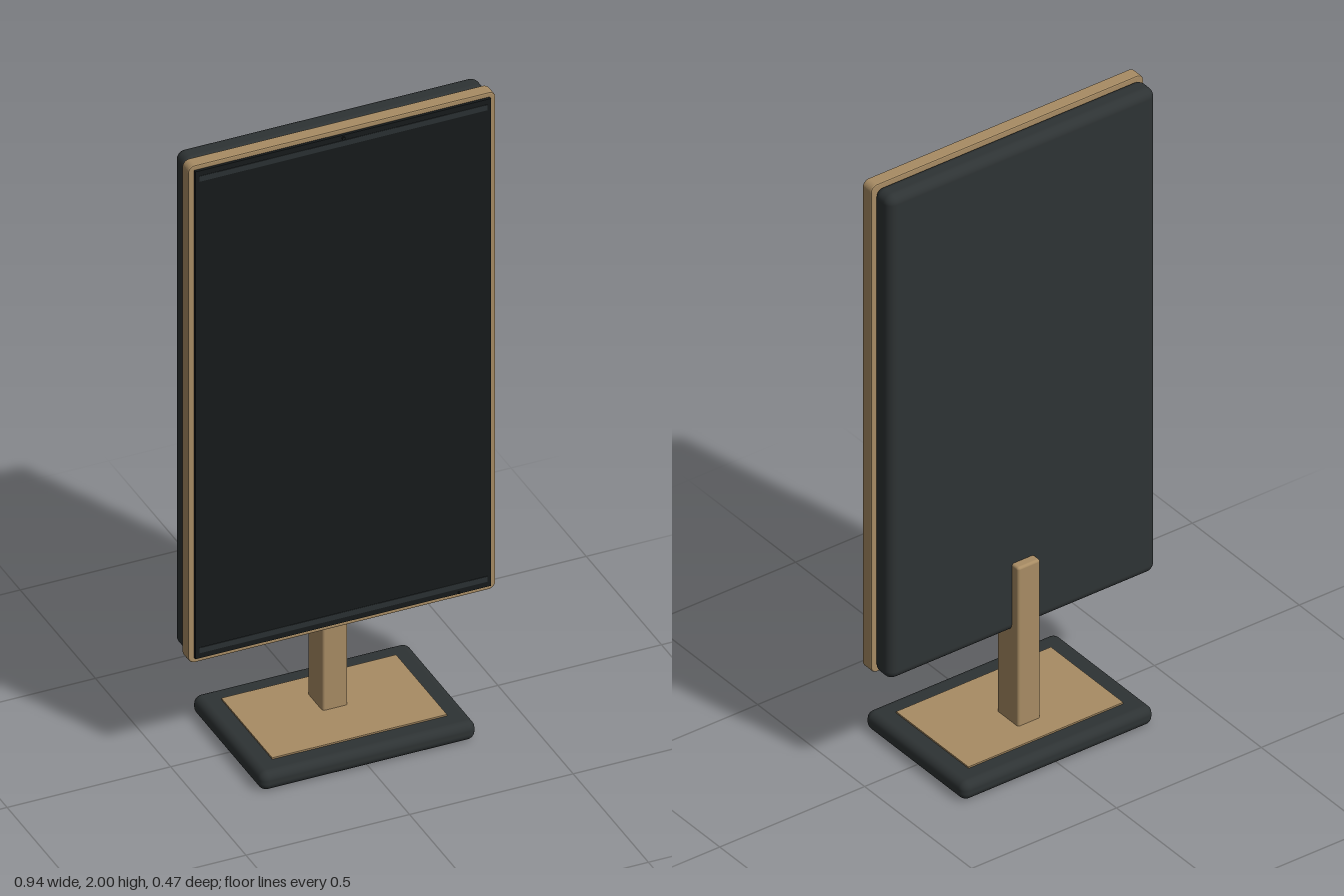
import * as THREE from 'three';
import { RoundedBoxGeometry } from 'three/addons/geometries/RoundedBoxGeometry.js';

const wood = new THREE.MeshStandardMaterial({ color: 0xa88c64 });
const charcoal = new THREE.MeshStandardMaterial({ color: 0x2e3334 });
const glass = new THREE.MeshStandardMaterial({ color: 0x161a1b });
const trim = new THREE.MeshStandardMaterial({ color: 0x2a3032 });

export function createModel() {
  const model = new THREE.Group();
  model.name = 'portraitDisplay';

  const add = (name, geometry, material, x, y, z) => {
    const mesh = new THREE.Mesh(geometry, material);
    mesh.name = name;
    mesh.position.set(x, y, z);
    model.add(mesh);
    return mesh;
  };
  // Boxes given by their limits; a radius rounds every edge
  const box = (name, material, [x0, x1], [y0, y1], [z0, z1], radius = 0) => {
    const size = [x1 - x0, y1 - y0, z1 - z0];
    const geometry = radius
      ? new RoundedBoxGeometry(...size, 4, radius)
      : new THREE.BoxGeometry(...size);
    return add(name, geometry, material, (x0 + x1) / 2, (y0 + y1) / 2, (z0 + z1) / 2);
  };

  // Upright panel with rounded corners and a fine bevel on its faces
  const panel = (name, material, w, [y0, y1], [z0, z1], r, bevel) => {
    const x = w / 2 - bevel, y = (y1 - y0) / 2 - bevel;
    const shape = new THREE.Shape();
    shape.absarc(x - r, y - r, r, 0, Math.PI / 2);
    shape.absarc(-x + r, y - r, r, Math.PI / 2, Math.PI);
    shape.absarc(-x + r, -y + r, r, Math.PI, Math.PI * 1.5);
    shape.absarc(x - r, -y + r, r, Math.PI * 1.5, Math.PI * 2);
    const geometry = new THREE.ExtrudeGeometry(shape, {
      depth: z1 - z0 - 2 * bevel, curveSegments: 6,
      bevelEnabled: true, bevelThickness: bevel, bevelSize: bevel, bevelSegments: 2,
    });
    return add(name, geometry, material, 0, (y0 + y1) / 2, z0 + bevel);
  };

  // Base with wooden inlay
  box('base', charcoal, [-0.33, 0.33], [0, 0.06], [-0.233, 0.233], 0.025);
  box('baseInlay', wood, [-0.267, 0.267], [0.045, 0.065], [-0.17, 0.168]);

  // Post
  box('post', wood, [-0.039, 0.039], [0.05, 0.597], [-0.093, 0.007], 0.008);

  // Display: housing, wooden frame and screen
  box('housing', charcoal, [-0.462, 0.462], [0.367, 1.993], [-0.064, 0.014], 0.028);
  panel('frame', wood, 0.94, [0.36, 2], [0.01, 0.051], 0.018, 0.004);
  box('screen', glass, [-0.452, 0.452], [0.377, 1.985], [0.045, 0.06]);

  // Trim strips along the top and bottom of the screen
  for (const [name, y] of [['topTrim', 1.959], ['bottomTrim', 0.403]]) {
    box(name, trim, [-0.44, 0.44], [y - 0.009, y + 0.009], [0.055, 0.0615]);
  }

  // Camera and status light
  const dot = (name, radius, x, y) =>
    add(name, new THREE.CylinderGeometry(radius, radius, 0.008, 16), glass, x, y, 0.061)
      .rotateX(Math.PI / 2);
  dot('camera', 0.005, 0, 1.976);
  dot('statusLight', 0.003, 0.353, 0.382);

  return model;
}
